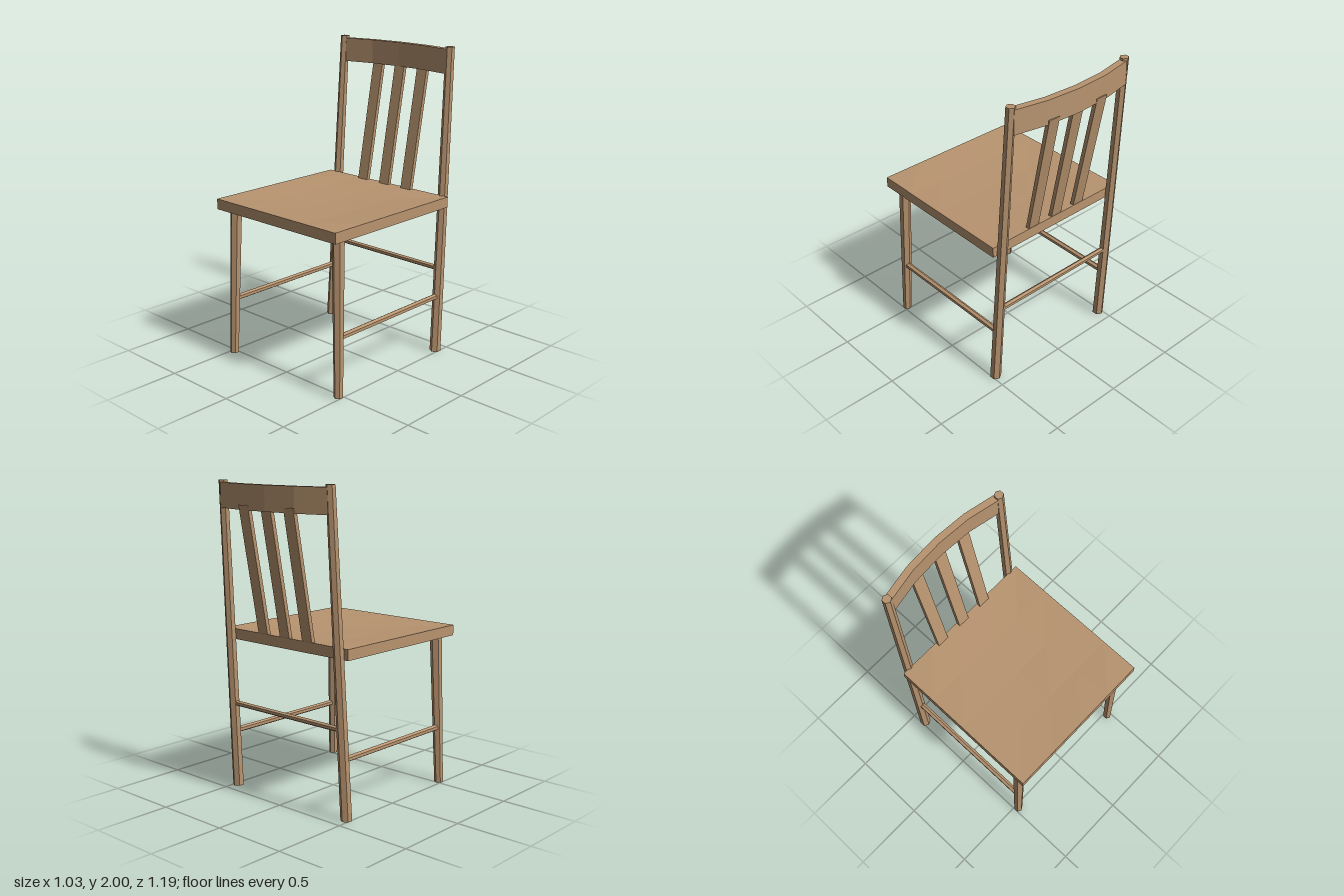
import * as THREE from 'three';

const wood = new THREE.MeshStandardMaterial({ color: 0xb89470, flatShading: true });
wood.name = 'warm wood';

// Move every vertex of a geometry by a rule
function reshape(geometry, rule) {
  const pos = geometry.attributes.position;
  const v = new THREE.Vector3();
  for (let i = 0; i < pos.count; i++) {
    v.fromBufferAttribute(pos, i);
    rule(v);
    pos.setXYZ(i, v.x, v.y, v.z);
  }
  geometry.computeVertexNormals();
  return geometry;
}

// Hexagonal leg leaning from bottom to top, with level ends
function legGeometry(bottom, top, rBottom, rTop) {
  const h = top.y - bottom.y;
  return reshape(new THREE.CylinderGeometry(rTop, rBottom, h, 6), (v) => {
    const t = v.y / h + 0.5;
    v.x += THREE.MathUtils.lerp(bottom.x, top.x, t);
    v.z += THREE.MathUtils.lerp(bottom.z, top.z, t);
    v.y += (bottom.y + top.y) / 2;
  });
}

export function createModel() {
  const model = new THREE.Group();
  model.name = 'chair';
  const add = (name, geometry) => {
    const mesh = new THREE.Mesh(geometry.index ? geometry.toNonIndexed() : geometry, wood);
    mesh.geometry.computeVertexNormals();
    mesh.name = name;
    model.add(mesh);
    return mesh;
  };

  // Seat, gently dished towards the middle
  const w = 1.034, d = 1.036;
  const seat = reshape(new THREE.BoxGeometry(w, 0.068, d, 4, 1, 4), (v) => {
    const u = (2 * v.x) / w, k = (2 * v.z) / d;
    v.y += 1.026 - 0.022 * (1 - u * u) * (1 - k * k);
    v.z += 0.073;
  });
  add('seat', seat);

  // Legs and side stretchers, mirrored
  for (const s of [1, -1]) {
    const side = s > 0 ? 'left' : 'right';
    const P = (x, y, z) => new THREE.Vector3(s * x, y, z);
    add(side + 'FrontLeg', legGeometry(P(0.475, 0, 0.523), P(0.448, 1.0, 0.494), 0.029, 0.039));
    add(side + 'BackPost', legGeometry(P(0.476, 0, -0.41), P(0.446, 2, -0.516), 0.036, 0.029));

    const bar = new THREE.CylinderGeometry(0.02, 0.02, 0.93, 6).rotateX(Math.PI / 2);
    add(side + 'Stretcher', bar.translate(s * 0.467, 0.38, 0.04));
  }

  // Back stretcher
  const backBar = new THREE.CylinderGeometry(0.018, 0.018, 0.92, 6)
    .rotateY(Math.PI / 2).rotateZ(Math.PI / 2);
  add('backStretcher', backBar.translate(0, 0.568, -0.44));

  // Curved top rail, drawn in plan and extruded upwards
  const plan = new THREE.Shape([
    [-0.43, 0.498], [-0.22, 0.54], [0, 0.553], [0.22, 0.54], [0.43, 0.498],
    [0.445, 0.54], [0.228, 0.583], [0, 0.597], [-0.228, 0.583], [-0.445, 0.54],
  ].map(([x, y]) => new THREE.Vector2(x, y)));
  const rail = new THREE.ExtrudeGeometry(plan, { depth: 0.155, bevelEnabled: false });
  add('topRail', rail.rotateX(-Math.PI / 2).translate(0, 1.83, 0));

  // Slats leaning back from the seat to the rail
  for (const x of [-0.188, 0, 0.188]) {
    const slat = reshape(new THREE.BoxGeometry(0.08, 0.84, 0.027), (v) => {
      v.y += 1.44;
      v.x += x;
      v.z -= 0.429 + 0.188 * (v.y - 1.06);
    });
    add('backSlat', slat);
  }
  return model;
}
